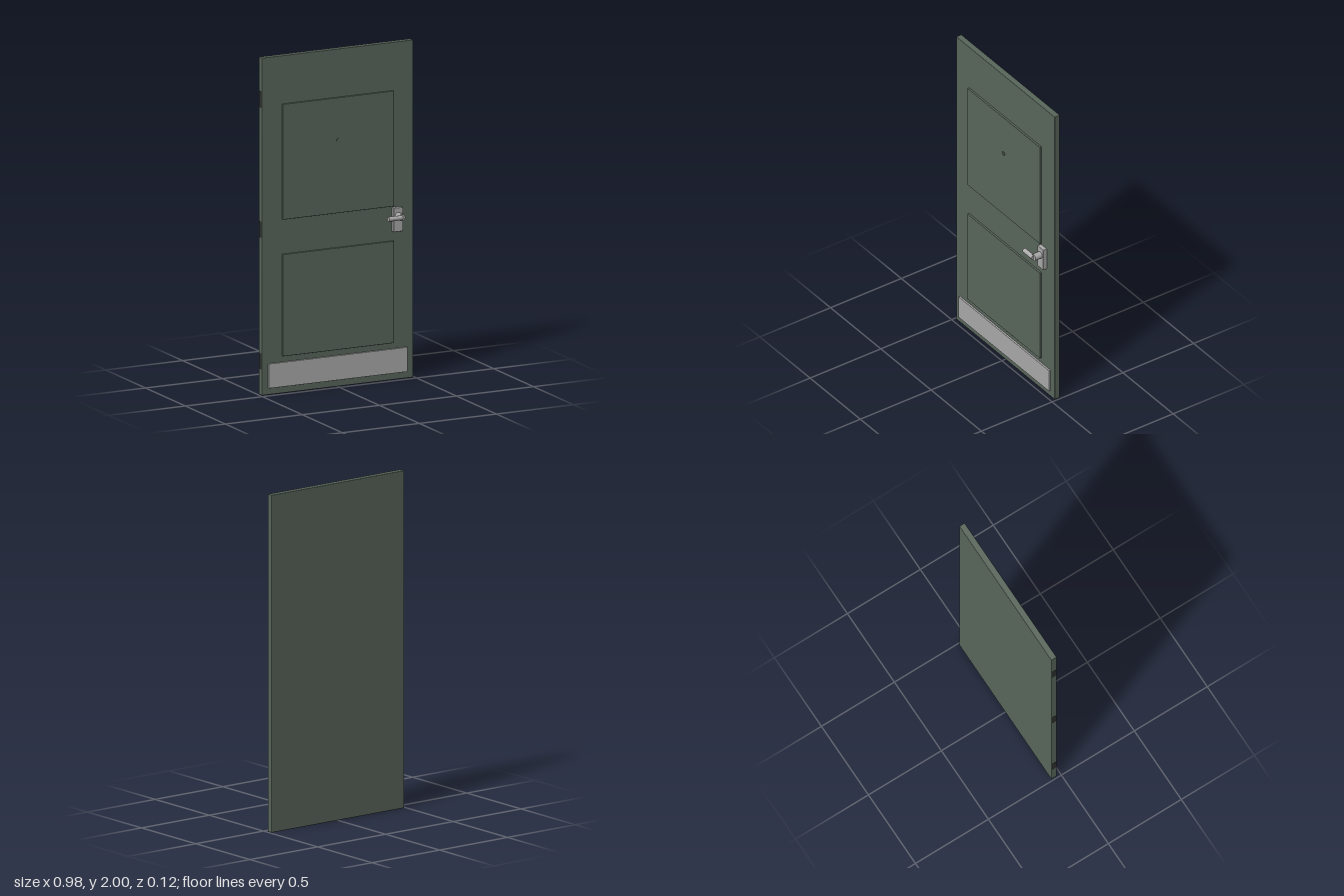
import * as THREE from 'three';
import { RoundedBoxGeometry } from 'three/addons/geometries/RoundedBoxGeometry.js';

export function createModel() {
  const door = new THREE.Group();
  door.name = 'door';

  const material = (name, color) => {
    const m = new THREE.MeshStandardMaterial({ color });
    m.name = name;
    return m;
  };
  const green = material('greenPaint', 0x59665b);
  const metal = material('brushedMetal', 0xa9a9a9);
  const dark = material('darkHinge', 0x2c302d);

  const add = (name, geometry, mat, x, y, z) => {
    const mesh = new THREE.Mesh(geometry, mat);
    mesh.name = name;
    mesh.position.set(x, y, z);
    door.add(mesh);
    return mesh;
  };
  // Box given by its limits on each axis, with slightly eased edges
  const slab = (name, mat, [x0, x1], [y0, y1], [z0, z1], ease) =>
    add(name, new RoundedBoxGeometry(x1 - x0, y1 - y0, z1 - z0, 2, ease), mat,
      (x0 + x1) / 2, (y0 + y1) / 2, (z0 + z1) / 2);

  // Door leaf, raised panels and kick plate
  slab('leaf', green, [-0.49, 0.49], [0, 2], [-0.062, -0.025], 0.003);
  slab('upperPanel', green, [-0.36, 0.36], [1.03, 1.714], [-0.03, -0.013], 0.002);
  slab('lowerPanel', green, [-0.36, 0.36], [0.22, 0.824], [-0.03, -0.013], 0.002);
  slab('kickPlate', metal, [-0.45, 0.45], [0.04, 0.185], [-0.03, -0.014], 0.001);

  // Peephole rim
  add('peephole', new THREE.CylinderGeometry(0.012, 0.012, 0.012, 24), green, 0, 1.463, -0.014)
    .rotation.x = Math.PI / 2;

  // Handle: back plate, stem and lever
  slab('handlePlate', metal, [0.352, 0.412], [0.88, 1.022], [-0.027, 0], 0.003);
  add('handleStem', new THREE.CylinderGeometry(0.021, 0.021, 0.048, 24), metal, 0.382, 0.973, 0.023)
    .rotation.x = Math.PI / 2;
  add('handleLever', new THREE.CylinderGeometry(0.014, 0.014, 0.09, 24), metal, 0.337, 0.973, 0.048)
    .rotation.z = Math.PI / 2;

  // Hinge leaves let into the edge
  for (const y of [0.2, 0.98, 1.75]) {
    add('hinge', new THREE.BoxGeometry(0.003, 0.095, 0.03), dark, -0.4895, y, -0.0435);
  }
  return door;
}
